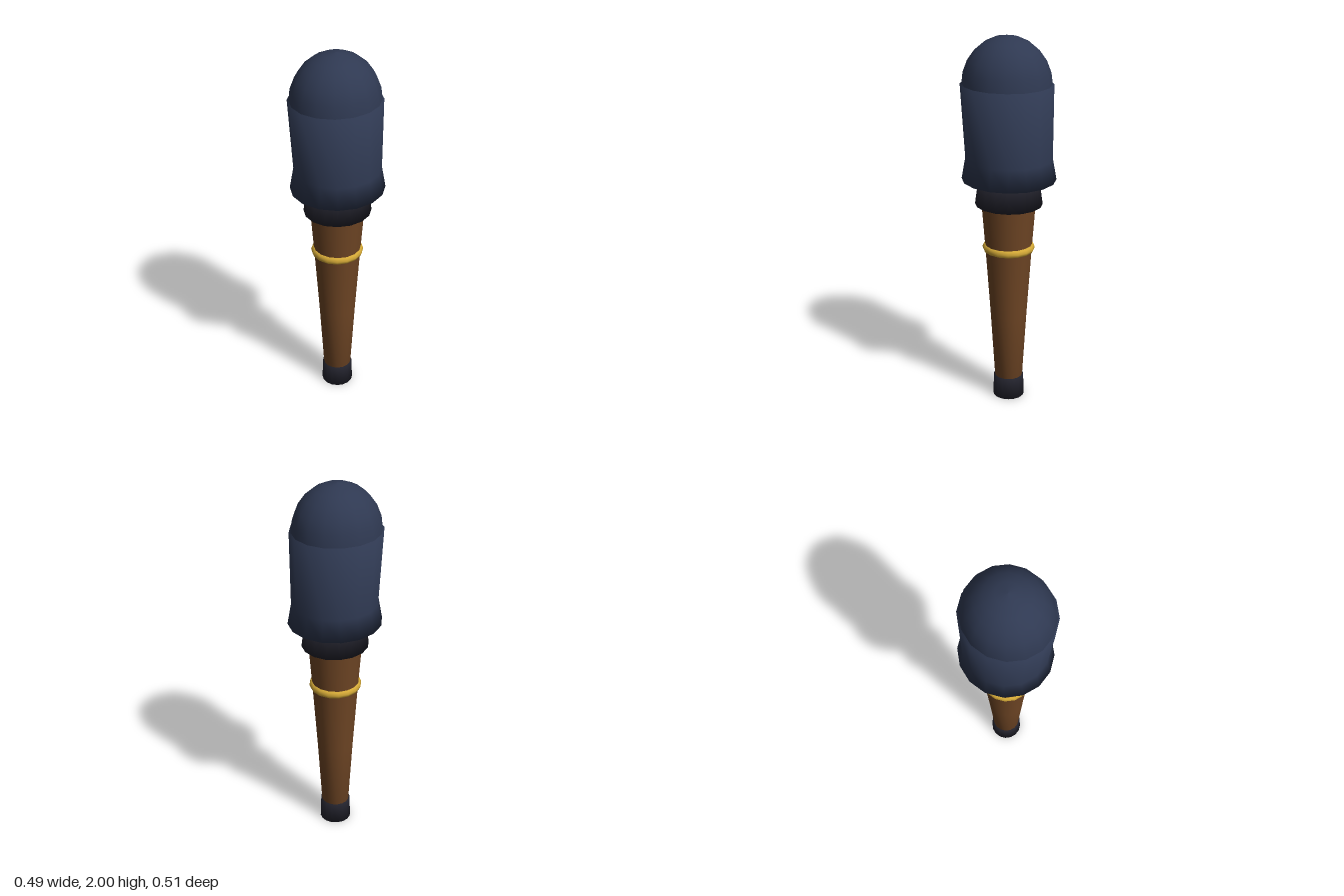
import * as THREE from 'three';

const material = (name, color) => new THREE.MeshStandardMaterial({ name, color });

export function createModel() {
  const group = new THREE.Group();
  const navy = material('navy', 0x2f3952);
  const charcoal = material('charcoal', 0x22222c);
  const wood = material('brown wood', 0x6e4524);
  const gold = material('gold', 0xd4a937);

  // Turned part from [radius, y] points, slightly oval, with a centre line zAt(y)
  function turned(name, mat, profile, oval = 1, zAt = () => 0) {
    const geometry = new THREE.LatheGeometry(profile.map(([r, y]) => new THREE.Vector2(r, y)), 16);
    const p = geometry.attributes.position;
    for (let i = 0; i < p.count; i++) p.setZ(i, p.getZ(i) * oval + zAt(p.getY(i)));
    const mesh = new THREE.Mesh(geometry, mat);
    mesh.name = name;
    group.add(mesh);
  }

  // Handle
  turned('endCap', charcoal, [[0, 0], [0.085, 0], [0.081, 0.12], [0, 0.12]]);
  turned('handle', wood, [[0, 0.1], [0.074, 0.1], [0.098, 0.5], [0.122, 0.85], [0.143, 1.13], [0.143, 1.16]]);

  // Rounded band around the handle
  const band = [];
  for (let i = 0; i <= 8; i++) {
    const a = (i / 8) * Math.PI * 2 - Math.PI;
    band.push([0.117 + 0.021 * Math.cos(a), 0.878 + 0.023 * Math.sin(a)]);
  }
  turned('band', gold, band, 1.02);

  // Head: collar, flared sleeve leaning slightly forward, and dome
  turned('collar', charcoal, [[0, 1.12], [0.175, 1.12], [0.157, 1.25], [0, 1.25]], 1.03, () => -0.002);
  const lean = y => -0.003 + 0.015 * Math.max(0, (y - 1.37) / 0.38);
  turned('sleeve', navy, [[0, 1.257], [0.243, 1.257], [0.223, 1.37], [0.236, 1.755], [0, 1.755]], 1.03, lean);

  const dome = [];
  for (let i = 0; i <= 6; i++) {
    const a = (i / 6) * Math.PI / 2;
    dome.push([0.226 * Math.cos(a), 1.75 + 0.25 * Math.sin(a)]);
  }
  turned('dome', navy, dome, 1.05, () => 0.012);

  return group;
}
